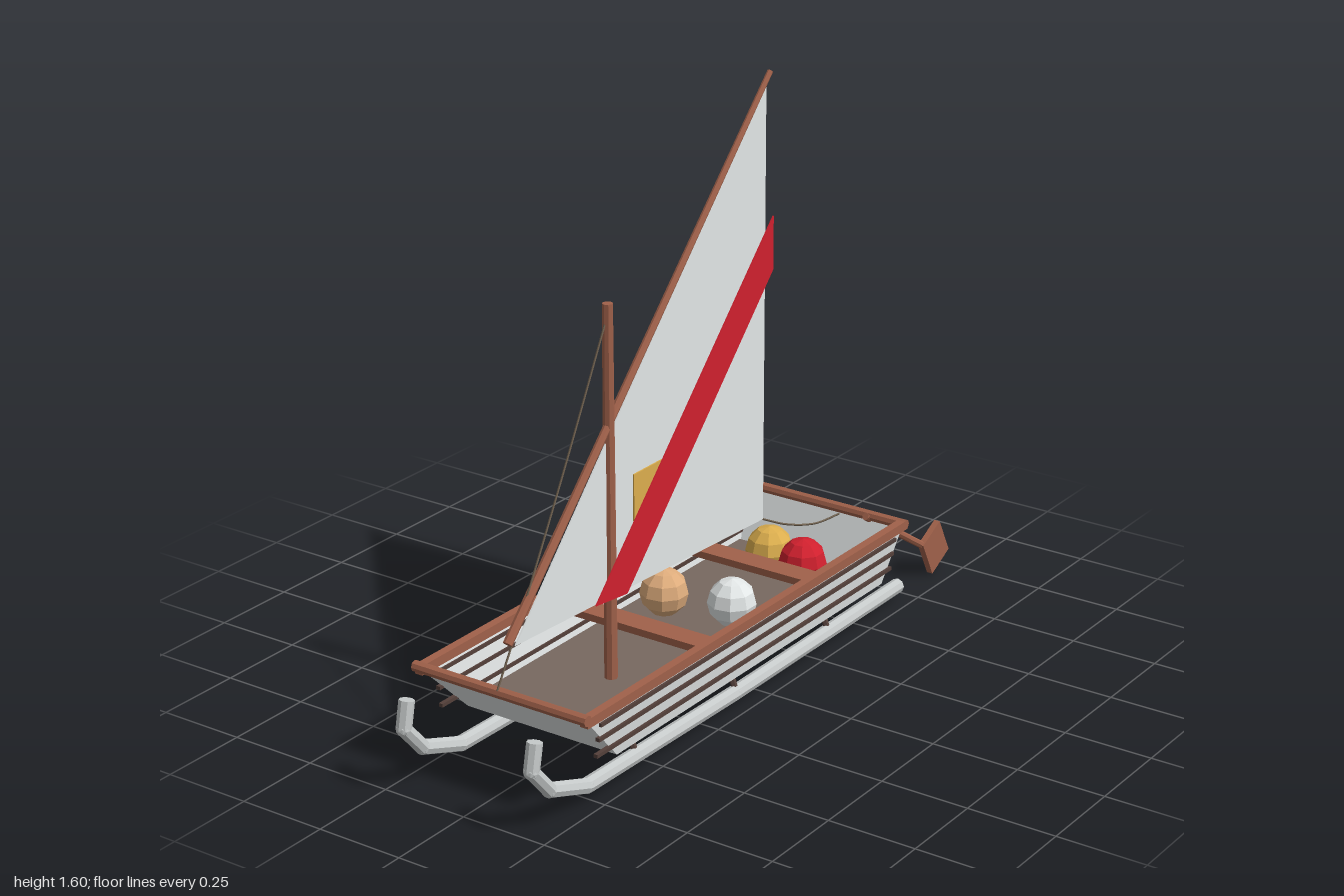
import * as THREE from 'three';

const mat = (name, color) => {
  const m = new THREE.MeshStandardMaterial({ color, side: THREE.DoubleSide, flatShading: true });
  m.name = name;
  return m;
};

export function createModel() {
  const root = new THREE.Group();
  root.name = 'sailSled';

  const white = mat('paleCanvas', 0xe2e6e6);
  const silver = mat('silver', 0xc6caca);
  const wood = mat('brownWood', 0xa0614a);
  const deck = mat('deckBrown', 0x776860);
  const dark = mat('darkBatten', 0x54403a);
  const rope = mat('rope', 0x6b5d4c);
  const red = mat('red', 0xd0202e);
  const gold = mat('gold', 0xdcae4e);
  const tan = mat('tan', 0xdeac7c);

  const add = (name, geometry, material, x = 0, y = 0, z = 0) => {
    const mesh = new THREE.Mesh(geometry, material);
    mesh.name = name;
    mesh.position.set(x, y, z);
    root.add(mesh);
    return mesh;
  };
  const box = (name, w, h, d, material, x, y, z) =>
    add(name, new THREE.BoxGeometry(w, h, d), material, x, y, z);

  // Round bar between two points, r0 at the start and r1 at the end
  const bar = (name, a, b, r0, r1, material, sides = 8) => {
    const p = new THREE.Vector3(...a), q = new THREE.Vector3(...b);
    const dir = q.clone().sub(p);
    const mesh = add(name, new THREE.CylinderGeometry(r1, r0, dir.length(), sides), material);
    mesh.position.copy(p).add(q).multiplyScalar(0.5);
    mesh.quaternion.setFromUnitVectors(new THREE.Vector3(0, 1, 0), dir.normalize());
    return mesh;
  };
  const cord = (name, points) => {
    const curve = new THREE.CatmullRomCurve3(points.map(p => new THREE.Vector3(...p)));
    return add(name, new THREE.TubeGeometry(curve, 14, 0.003, 5), rope);
  };

  // Flat sheet in the side plane, outline given as [z, y]
  const sheet = (name, outline, thickness, material, x) => {
    const shape = new THREE.Shape(outline.map(([z, y]) => new THREE.Vector2(-z, y)));
    const g = new THREE.ExtrudeGeometry(shape, { depth: thickness, bevelEnabled: false });
    g.rotateY(Math.PI / 2);
    return add(name, g, material, x, 0, 0);
  };

  // Open hull: a box without its lid, flared towards the top
  const hullGeo = new THREE.BoxGeometry(1, 1, 1);
  const pos = hullGeo.attributes.position;
  for (let i = 0; i < pos.count; i++) {
    const top = pos.getY(i) > 0, front = pos.getZ(i) > 0;
    const z = front ? (top ? 0.84 : 0.68) : (top ? -0.64 : -0.57);
    pos.setXYZ(i, Math.sign(pos.getX(i)) * (top ? 0.262 : 0.237), top ? 0.275 : 0.11, z);
  }
  const index = Array.from(hullGeo.index.array);
  index.splice(12, 6);
  hullGeo.clearGroups();
  hullGeo.setIndex(index);
  hullGeo.computeVertexNormals();
  add('hull', hullGeo, white);

  // Deck boards and benches
  box('floor', 0.452, 0.015, 1.15, deck, 0, 0.13, 0.025);
  for (const z of [0.25, -0.25]) box('bench', 0.48, 0.02, 0.07, wood, 0, 0.235, z);

  // Rim and side battens
  for (const s of [-1, 1]) {
    box('sideRail', 0.024, 0.026, 1.49, wood, s * 0.26, 0.272, 0.1);
    for (const y of [0.15, 0.197, 0.24]) {
      const x = 0.239 + (y - 0.11) * 0.15;
      box('batten', 0.012, 0.01, 1.38, dark, s * x, y, 0.09);
    }
  }
  bar('bowRail', [-0.272, 0.281, 0.845], [0.272, 0.281, 0.845], 0.015, 0.015, wood);
  bar('sternRail', [-0.272, 0.273, -0.637], [0.272, 0.273, -0.637], 0.015, 0.015, wood);

  // Runners with upturned tips, and their struts
  const runnerPath = [[0.04, -0.72], [0.036, 0.1], [0.046, 0.76], [0.1, 0.91], [0.18, 0.98], [0.255, 0.965]];
  for (const s of [-1, 1]) {
    for (let i = 0; i < runnerPath.length - 1; i++) {
      const [y0, z0] = runnerPath[i], [y1, z1] = runnerPath[i + 1];
      bar('runner', [s * 0.2, y0, z0], [s * 0.2, y1, z1], 0.021, 0.021, silver);
      if (i) add('runnerJoint', new THREE.IcosahedronGeometry(0.021, 1), silver, s * 0.2, y0, z0);
    }
    for (const z of [0.55, 0.1, -0.35])
      bar('strut', [s * 0.2, 0.045, z], [s * 0.175, 0.12, z], 0.009, 0.009, dark, 6);
  }

  // Mast, slanted yard and sail
  bar('mast', [0, 0.13, 0.38], [0, 1.17, 0.38], 0.018, 0.014, wood);
  bar('yard', [0, 0.4, 0.81], [0, 1.6, -0.345], 0.013, 0.008, wood);
  sheet('sail', [[0.78, 0.385], [-0.325, 0.335], [-0.325, 1.57]], 0.004, white, -0.002);
  sheet('sailStripe', [[0.47, 0.38], [0.335, 0.365], [-0.335, 1.06], [-0.335, 1.21]], 0.004, red, 0.018);
  sheet('sailPatch', [[0.29, 0.55], [0.16, 0.55], [0.16, 0.68], [0.29, 0.68]], 0.004, gold, 0.009);

  // Rigging
  cord('forestay', [[0, 1.12, 0.39], [0, 0.79, 0.565], [0, 0.47, 0.745], [0, 0.29, 0.855]]);
  cord('sheetRope', [[0, 0.335, -0.325], [0.025, 0.295, -0.41], [0.055, 0.27, -0.51], [0.075, 0.272, -0.6]]);

  // Steering oar over the stern
  bar('oarShaft', [0.15, 0.275, -0.62], [0.187, 0.1, -0.88], 0.011, 0.011, wood);
  const blade = box('oarBlade', 0.018, 0.12, 0.1, wood, 0.19, 0.08, -0.93);
  blade.rotation.x = 0.48;

  // Round bundles on the floor
  const bundles = [[tan, -0.1, 0], [white, 0.087, -0.05], [gold, -0.025, -0.4], [red, 0.098, -0.38]];
  for (const [m, x, z] of bundles)
    add('bundle', new THREE.SphereGeometry(0.068, 9, 6), m, x, 0.213, z);

  return root;
}
